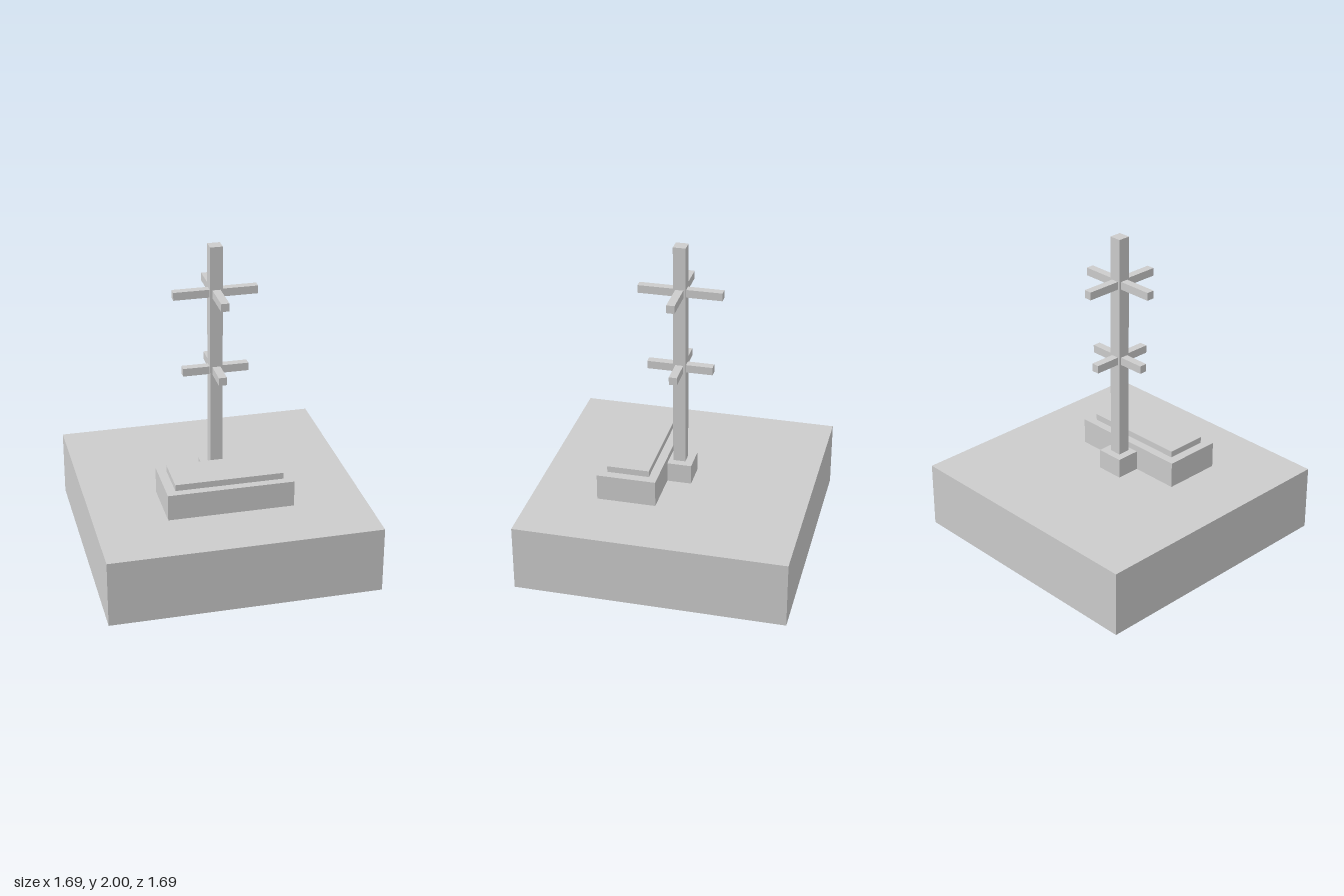
import * as THREE from 'three';

const material = new THREE.MeshStandardMaterial({ color: 0xcccccc, flatShading: true, side: THREE.DoubleSide });

// Box given by its extents on each axis; an open box has no underside
function box(name, [x0, x1], [y0, y1], [z0, z1], open = false) {
  const geometry = new THREE.BoxGeometry(x1 - x0, y1 - y0, z1 - z0);
  if (open) {
    const index = Array.from(geometry.index.array);
    index.splice(18, 6);
    geometry.setIndex(index);
    geometry.clearGroups();
  }
  geometry.translate((x0 + x1) / 2, (y0 + y1) / 2, (z0 + z1) / 2);
  const mesh = new THREE.Mesh(geometry, material);
  mesh.name = name;
  return mesh;
}

export function createModel() {
  const model = new THREE.Group();
  model.name = 'monument';

  // Hollow ground block
  model.add(box('base', [-0.845, 0.845], [0, 0.423], [-0.845, 0.845], true));

  // Tomb block with its lid, in front of the post
  model.add(box('tomb', [-0.395, 0.395], [0.417, 0.59], [0.066, 0.437], true));
  model.add(box('tombLid', [-0.338, 0.338], [0.585, 0.63], [0.12, 0.385], true));

  // Post and its footing, both sunk a little through the base top
  model.add(box('postFooting', [-0.088, 0.088], [0.39, 0.55], [-0.088, 0.088], true));
  model.add(box('post', [-0.039, 0.039], [0.4, 2], [-0.039, 0.039], true));

  // Two tiers of crossed arms
  const t = 0.025;
  for (const [tier, y, reach] of [['upper', 1.703, 0.261], ['lower', 1.2, 0.205]]) {
    const arms = new THREE.Group();
    arms.name = tier + 'Arms';
    arms.add(box('sideArm', [-reach, reach], [y - t, y + t], [-t, t]));
    arms.add(box('frontBackArm', [-t, t], [y - t, y + t], [-reach, reach]));
    model.add(arms);
  }
  return model;
}
